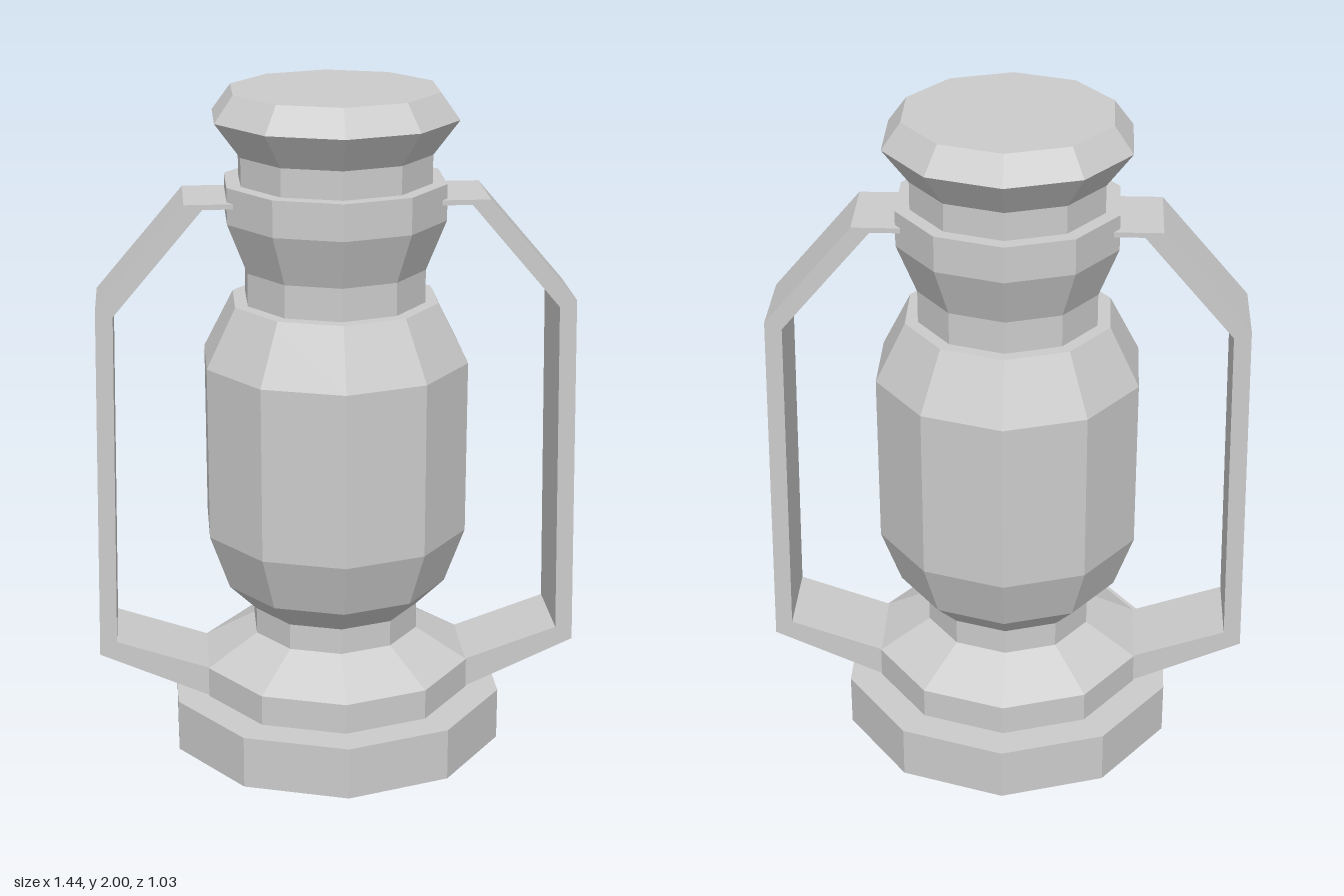
import * as THREE from 'three';

const SIDES = 10;
const grey = () => new THREE.MeshStandardMaterial({ color: 0xcccccc, flatShading: true });

// Ten-sided turned part from [radius, height] pairs, bottom to top
function turned(name, profile) {
  const points = profile.map(([r, y]) => new THREE.Vector2(r, y));
  const mesh = new THREE.Mesh(new THREE.LatheGeometry(points, SIDES), grey());
  mesh.name = name;
  return mesh;
}

// Flat bent strap, extruded along z; side is 1 for left, -1 for right
function handle(name, side) {
  const outline = [
    [0.30, 1.695], [0.44, 1.695], [0.70, 1.39], [0.722, 0.31], [0.395, 0.163],
    [0.39, 0.253], [0.67, 0.35], [0.65, 1.37], [0.387, 1.68], [0.30, 1.68],
  ];
  const shape = new THREE.Shape(outline.map(([x, y]) => new THREE.Vector2(x, y)));
  const width = 0.254;
  const geometry = new THREE.ExtrudeGeometry(shape, { depth: width, bevelEnabled: false });
  geometry.translate(0, 0, -width / 2);
  if (side < 0) geometry.rotateY(Math.PI);
  const mesh = new THREE.Mesh(geometry, grey());
  mesh.name = name;
  return mesh;
}

export function createModel() {
  const model = new THREE.Group();
  model.name = 'lantern';

  // Stepped foot
  model.add(turned('base', [[0, 0], [0.515, 0], [0.515, 0.16], [0.415, 0.16]]));
  model.add(turned('baseCollar', [[0.415, 0.16], [0.415, 0.253], [0.257, 0.345], [0.257, 0.425]]));

  // Glass chamber
  model.add(turned('chamber', [
    [0.257, 0.425], [0.342, 0.51], [0.403, 0.68], [0.403, 1.205], [0.312, 1.382], [0.273, 1.382],
  ]));

  // Neck and cap
  model.add(turned('neck', [
    [0.273, 1.382], [0.273, 1.48], [0.333, 1.63], [0.333, 1.737], [0.29, 1.737],
  ]));
  model.add(turned('cap', [
    [0.29, 1.737], [0.29, 1.82], [0.367, 1.923], [0.31, 2], [0, 2],
  ]));

  // Side handles
  model.add(handle('leftHandle', 1), handle('rightHandle', -1));
  return model;
}
